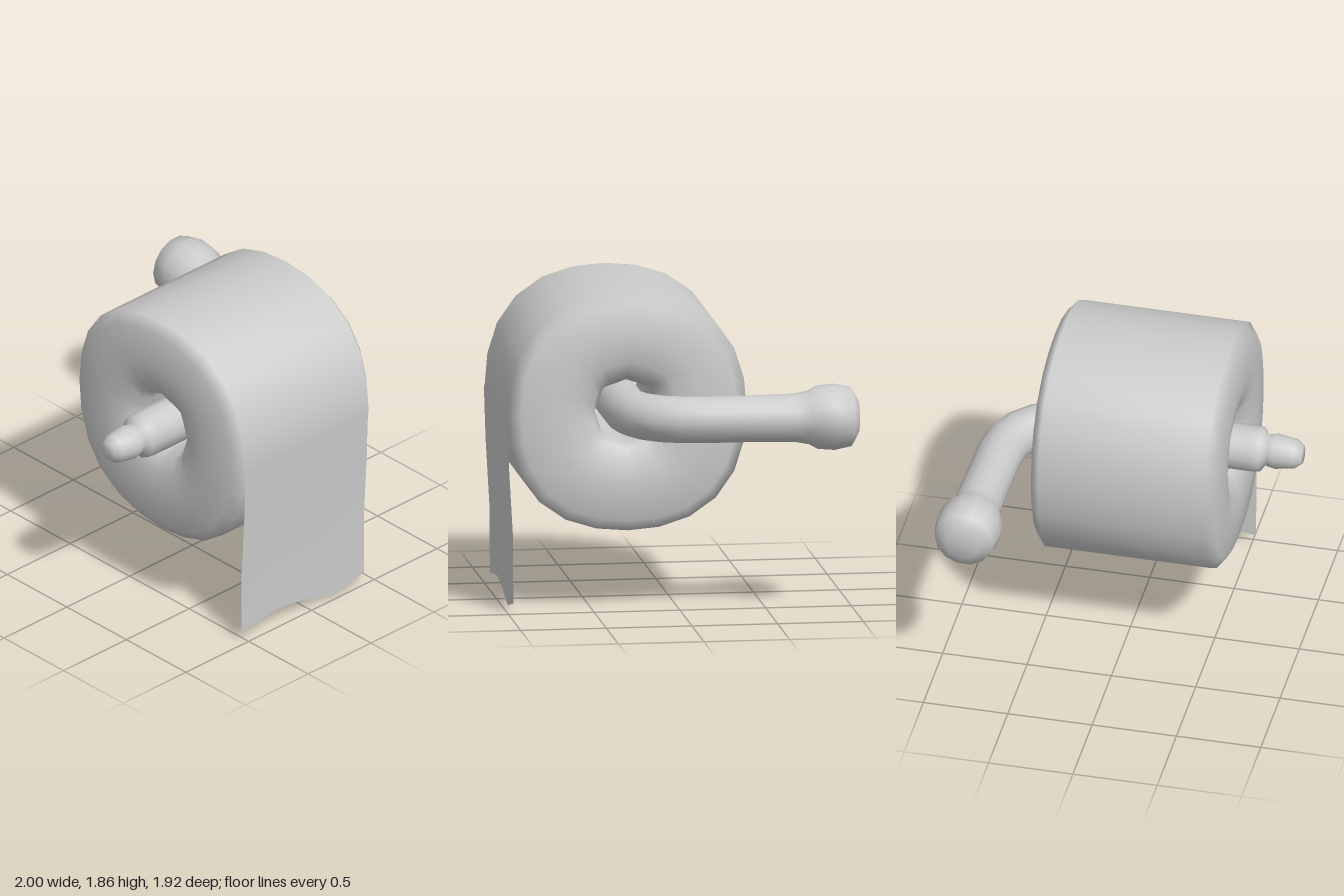
import * as THREE from 'three';

const AXIS_X = 0.3, AXIS_Y = 1.17;
const material = new THREE.MeshStandardMaterial({ color: 0xcccccc });
const sheetMaterial = new THREE.MeshStandardMaterial({ color: 0xcccccc, side: THREE.DoubleSide });

// Skin rings of [x, z, heading, radius]; heading 0 runs to the back, PI/2 to -x.
function loft(rows, sides, radiusAt = (r) => r) {
  const positions = [], index = [];
  rows.forEach(([x, z, heading, r], i) => {
    for (let j = 0; j < sides; j++) {
      const t = (j / sides) * Math.PI * 2;
      const rad = radiusAt(r, t);
      const side = rad * Math.cos(t);
      positions.push(x + side * Math.cos(heading), AXIS_Y + rad * Math.sin(t), z - side * Math.sin(heading));
      if (i === rows.length - 1) continue;
      const a = i * sides + j, b = i * sides + ((j + 1) % sides);
      index.push(a, a + sides, b, b, a + sides, b + sides);
    }
  });
  const geometry = new THREE.BufferGeometry();
  geometry.setAttribute('position', new THREE.Float32BufferAttribute(positions, 3));
  geometry.setIndex(index);
  geometry.computeVertexNormals();
  return geometry;
}

function addMesh(group, name, geometry, mat = material) {
  const mesh = new THREE.Mesh(geometry, mat);
  mesh.name = name;
  group.add(mesh);
}

// Slightly squarish outside, octagonal hole
function rollRadius(r, t) {
  const square = 1 + 0.048 * Math.sin(2 * t) ** 2;
  const octagon = Math.cos(Math.PI / 8) / Math.cos((t % (Math.PI / 4)) - Math.PI / 8);
  const blend = THREE.MathUtils.clamp((r - 0.18) / 0.25, 0, 1);
  return r * square * THREE.MathUtils.lerp(octagon, 1, blend);
}

export function createModel() {
  const group = new THREE.Group();

  // Paper roll with rounded rims and a sunken hole
  const rollProfile = [
    [0.46, 0.183], [0.53, 0.215], [0.575, 0.3], [0.595, 0.43], [0.577, 0.63], [0.525, 0.695],
    [-0.46, 0.695], [-0.515, 0.63], [-0.535, 0.43], [-0.515, 0.3], [-0.47, 0.215], [-0.4, 0.183], [0.46, 0.183],
  ];
  addMesh(group, 'paperRoll', loft(rollProfile.map(([z, r]) => [AXIS_X, z, 0, r]), 24, rollRadius));

  // Holder arm: front tip, straight spindle, bend and wall knob in one skin
  const H = Math.PI / 2;
  addMesh(group, 'holderArm', loft([
    [0.3, 0.955, 0, 0.001], [0.3, 0.955, 0, 0.055], [0.3, 0.915, 0, 0.085], [0.3, 0.8, 0, 0.103],
    [0.3, 0.76, 0, 0.095], [0.3, 0.74, 0, 0.09], [0.3, 0.715, 0, 0.13], [0.3, 0.66, 0, 0.135],
    [0.3, -0.36, 0, 0.135], [0.285, -0.48, 0.25, 0.135], [0.225, -0.61, 0.6, 0.135],
    [0.13, -0.7, 0.95, 0.135], [0.01, -0.745, 1.3, 0.135], [-0.11, -0.76, 1.5, 0.135],
    [-0.38, -0.765, H, 0.135], [-0.63, -0.77, H, 0.14], [-0.71, -0.77, H, 0.155],
    [-0.76, -0.77, H, 0.183], [-0.86, -0.77, H, 0.192], [-0.96, -0.77, H, 0.172],
    [-1.0, -0.77, H, 0.1], [-1.0, -0.77, H, 0.001],
  ], 14));

  // Hanging sheet with a torn lower edge
  const columns = [[0.525, 0.06], [0.25, 0.1], [0.06, 0.08], [-0.21, 0.005], [-0.45, 0.06]];
  const sheet = new THREE.PlaneGeometry(1, 1, columns.length - 1, 3);
  const p = sheet.attributes.position;
  for (let i = 0; i < p.count; i++) {
    const row = Math.floor(i / columns.length);
    const [z, tear] = columns[i % columns.length];
    p.setXYZ(i, [1.0, 0.99, 0.967, 0.965][row], [1.17, 0.85, 0.45, tear][row], z);
  }
  sheet.computeVertexNormals();
  addMesh(group, 'hangingSheet', sheet, sheetMaterial);

  return group;
}
